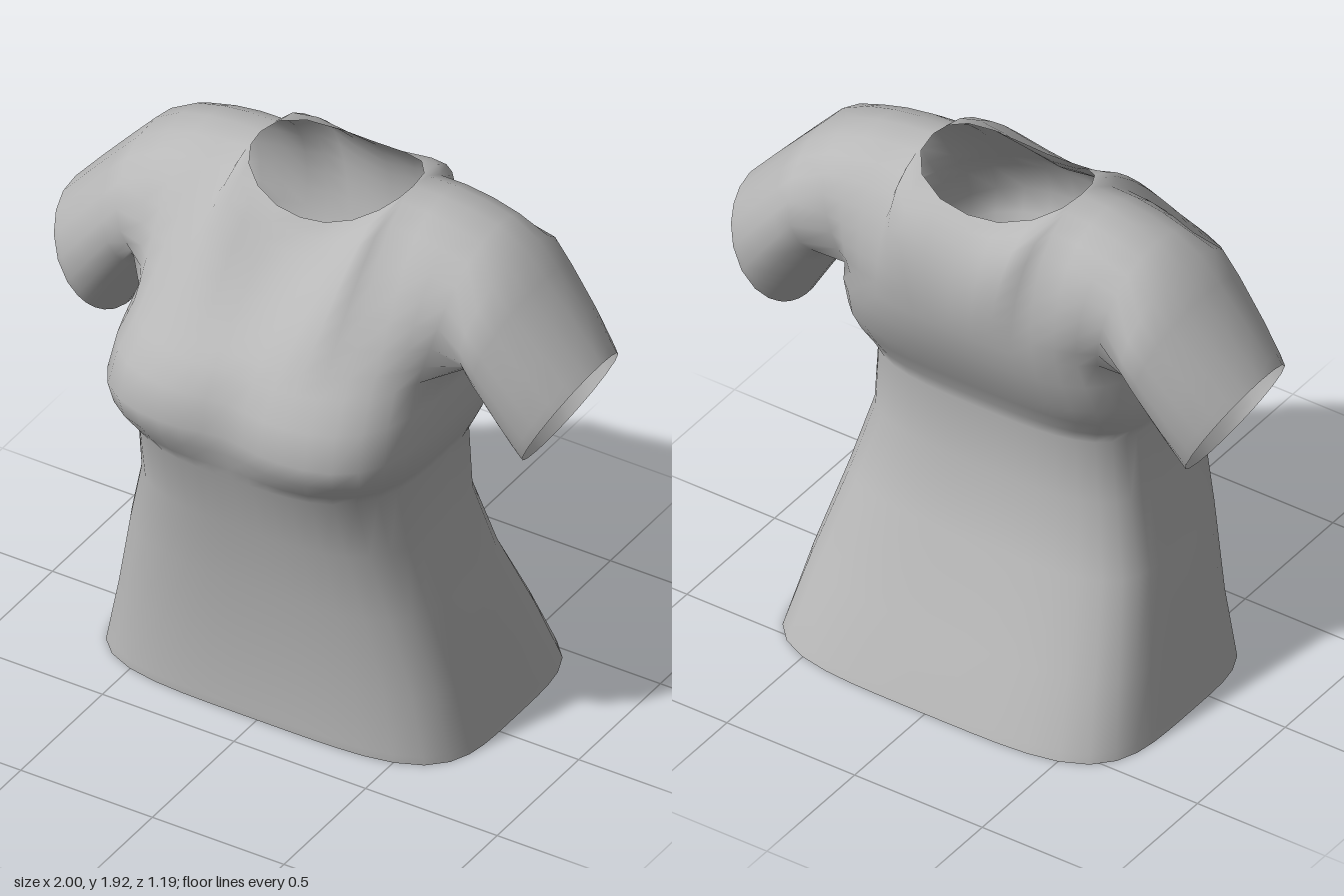
import * as THREE from 'three';
import { mergeVertices } from 'three/addons/utils/BufferGeometryUtils.js';

const N = 48;                 // points around the torso
const FRONT = [4, 20];        // torso columns that rise into the front panel
const BACK = [29, 43];        // torso columns that rise into the back panel
const SEAM = 3;               // panel columns that end on each shoulder seam
const ROWS = 8;
const lerp = THREE.MathUtils.lerp;

// Rounded-box outline in polar form
function outline(a, n) {
  const c = Math.cos(a), s = Math.sin(a);
  const r = (Math.abs(c) ** n + Math.abs(s) ** n) ** (-1 / n);
  return [c * r, s * r];
}

// Torso sections: height, half width, front z, back z, middle z, squareness, centre dip
const SECTIONS = [
  [0, 0.70, 0.36, -0.60, -0.10, 4.2, 0],
  [0.03, 0.693, 0.362, -0.588, -0.10, 4.2, 0],
  [0.25, 0.65, 0.36, -0.49, -0.08, 4, 0],
  [0.55, 0.585, 0.40, -0.35, -0.02, 3.6, 0],
  [0.80, 0.525, 0.44, -0.28, 0, 3.3, 0],
  [1.04, 0.508, 0.51, -0.285, 0, 3.3, 0],
  [1.09, 0.53, 0.54, -0.30, 0, 3.5, 0.01],
  [1.16, 0.557, 0.578, -0.335, 0, 3.9, 0.03],
  [1.24, 0.567, 0.60, -0.38, 0, 4, 0.035],
  [1.36, 0.565, 0.575, -0.43, -0.05, 3.5, 0.03],
  [1.45, 0.56, 0.51, -0.45, -0.10, 3, 0.012],
];

function torsoRing([y, w, zf, zb, zc, n, dip]) {
  const ring = [];
  for (let i = 0; i <= N; i++) {
    const [c, s] = outline((i % N) / N * Math.PI * 2, n);
    const x = w * c;
    let z = zc + s * (s > 0 ? zf - zc : zc - zb);
    if (s > 0) z -= dip * Math.exp(-((x / 0.12) ** 2));
    ring.push(new THREE.Vector3(x, y, z));
  }
  return ring;
}

// Upper edge of a panel: shoulder seam, neckline, shoulder seam
function topPoint(j, n, dir) {
  const k = Math.min(j, n - j);
  const side = (j < n / 2 ? 1 : -1) * dir;
  if (k <= SEAM) {
    const t = k / SEAM;
    return new THREE.Vector3(side * lerp(0.6, 0.29, t),
      lerp(1.875, 1.925, t) + 0.015 * Math.sin(t * Math.PI), lerp(-0.15, -0.13, t));
  }
  const [c, s] = outline((j - SEAM) / (n - 2 * SEAM) * Math.PI, 2.4);
  const drop = dir > 0 ? 0.095 : 0.065;
  return new THREE.Vector3(0.29 * c * dir, 1.925 - drop * (1 - c * c), -0.13 + dir * 0.225 * s);
}

// Panel from the armpit level up to the shoulder and neckline (dir 1 front, -1 back)
function panel(ring, [first, last], dir) {
  const n = last - first;
  const rows = Array.from({ length: ROWS + 1 }, () => []);
  for (let j = 0; j <= n; j++) {
    const a = ring[first + j], d = topPoint(j, n, dir);
    const s = Math.min(1, Math.abs(d.x) / 0.29) ** 2;              // centre to neck side
    const e = Math.max(0, (Math.abs(d.x) - 0.29) / 0.31);          // neck side to armhole
    const b = a.clone(), c = d.clone();
    b.x = lerp(a.x, d.x, 0.3);
    if (dir > 0) {
      b.y += 0.12;
      b.z -= 0.21 * (a.z - d.z);
      c.y -= lerp(0.13, 0, s) + 0.01 * e;
      c.z += lerp(0.05, 0.2, s) + 0.1 * e;
    } else {
      b.y += 0.15;
      b.z -= 0.03 + 0.03 * e;
      c.y -= lerp(0.1, 0, s) + 0.01 * e;
      c.z -= lerp(0.1, 0.27, s);
    }
    const curve = new THREE.CubicBezierCurve3(a, b, c, d);
    for (let i = 0; i <= ROWS; i++) rows[i].push(curve.getPoint(i / ROWS));
  }
  return rows;
}

// Sleeve rings: centre x, centre y, centre z, half axis x, half axis y, half depth
const SLEEVE = [
  [0.652, 1.60, -0.132, 0.05, 0.215, 0.293],
  [0.705, 1.53, -0.130, 0.075, 0.20, 0.288],
  [0.80, 1.404, -0.128, 0.093, 0.20, 0.268],
  [0.87, 1.308, -0.125, 0.106, 0.20, 0.245],
  [0.89, 1.28, -0.125, 0.11, 0.20, 0.235],
];

function sleeveRows(armhole) {
  const rows = [armhole];
  for (const [cx, cy, cz, hx, hy, d] of SLEEVE) {
    rows.push(armhole.map((p) => {
      const a = Math.atan2((p.y - 1.66) / 0.215, (p.z + 0.13) / 0.29);
      const s = Math.sin(a);
      return new THREE.Vector3(cx + hx * s, cy + hy * s, cz + d * Math.cos(a));
    }));
  }
  return rows;
}

const mirrorRows = (rows) => rows.map((row) =>
  row.map((p) => new THREE.Vector3(-p.x, p.y, p.z)).reverse());

// Triangles of a grid of points
function addGrid(out, rows) {
  const put = (...pts) => pts.forEach((p) => out.push(p.x, p.y, p.z));
  for (let i = 0; i + 1 < rows.length; i++) {
    for (let j = 0; j + 1 < rows[i].length; j++) {
      const a = rows[i][j], b = rows[i + 1][j], c = rows[i + 1][j + 1], d = rows[i][j + 1];
      put(a, b, d);
      put(b, c, d);
    }
  }
}

export function createModel() {
  const group = new THREE.Group();
  group.name = 'shirt';
  const fabric = new THREE.MeshStandardMaterial({ color: 0xb8b8b8, side: THREE.DoubleSide });
  fabric.name = 'grey fabric';

  const torso = SECTIONS.map(torsoRing);
  const armpit = torso[torso.length - 1];
  const front = panel(armpit, FRONT, 1);
  const back = panel(armpit, BACK, -1);

  // Left armhole: up the front edge, down the back edge, forward under the arm
  const armhole = front.map((r) => r[0]);
  for (let i = ROWS - 1; i >= 0; i--) armhole.push(back[i][BACK[1] - BACK[0]]);
  for (let i = BACK[1] + 1; i <= N + FRONT[0]; i++) armhole.push(armpit[i % N]);
  const left = sleeveRows(armhole);

  // Weld all parts together so the shading runs smoothly over the seams
  const positions = [];
  const parts = [
    ['body', [torso, front, back]],
    ['leftSleeve', [left]],
    ['rightSleeve', [mirrorRows(left)]],
  ].map(([name, grids]) => {
    const start = positions.length / 3;
    grids.forEach((g) => addGrid(positions, g));
    return [name, start, positions.length / 3];
  });
  const soup = new THREE.BufferGeometry();
  soup.setAttribute('position', new THREE.Float32BufferAttribute(positions, 3));
  const welded = mergeVertices(soup, 1e-4);
  welded.computeVertexNormals();

  // Split into named parts again, keeping the shared normals
  const index = Array.from(welded.index.array);
  for (const [name, start, end] of parts) {
    const geometry = welded.clone();
    geometry.setIndex(index.slice(start, end));
    const mesh = new THREE.Mesh(geometry.toNonIndexed(), fabric);
    mesh.name = name;
    group.add(mesh);
  }
  return group;
}
